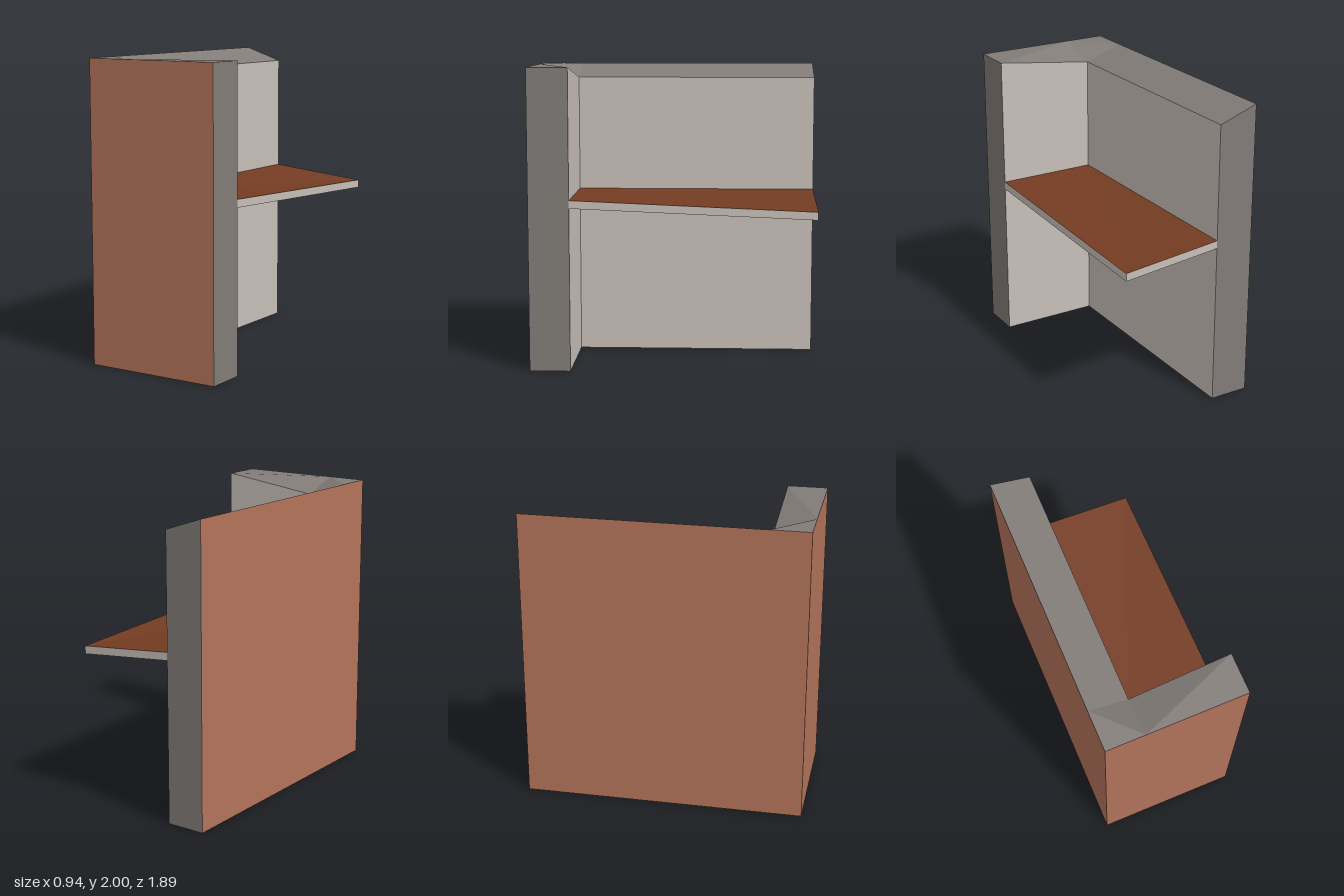
import * as THREE from 'three';

const mat = (name, color) => {
  const m = new THREE.MeshStandardMaterial({ color, side: THREE.DoubleSide });
  m.name = name;
  return m;
};

// Flat-shaded panel from convex polygons, corners counter-clockwise from outside
function panel(name, material, ...polygons) {
  const pos = [];
  for (const p of polygons)
    for (let i = 1; i < p.length - 1; i++) pos.push(...p[0], ...p[i], ...p[i + 1]);
  const g = new THREE.BufferGeometry();
  g.setAttribute('position', new THREE.Float32BufferAttribute(pos, 3));
  g.computeVertexNormals();
  const mesh = new THREE.Mesh(g, material);
  mesh.name = name;
  return mesh;
}

export function createModel() {
  const rust = mat('rust', 0xb3745b);
  const lightGrey = mat('lightGrey', 0xc8c0b9);
  const darkGrey = mat('darkGrey', 0x827c78);
  const brown = mat('brown', 0x743c22);

  const X = 0.47, XI = -0.205; // outer side, inner face of side wall
  const Z = 0.945, ZI = 0.675; // outer front, inner face of front wall
  const H = 2, HI = 1.91;      // rim height, lowered at the inner corner

  const model = new THREE.Group();
  model.name = 'cornerWallWithShelf';

  // L-shaped wall, open underneath
  const wall = new THREE.Group();
  wall.name = 'cornerWall';
  wall.add(
    panel('frontFace', rust, [[-X, 0, Z], [X, 0, Z], [X, H, Z], [-X, H, Z]]),
    panel('sideFace', rust, [[-X, 0, -Z], [-X, 0, Z], [-X, H, Z], [-X, H, -Z]]),
    panel('innerSideFace', lightGrey, [[XI, 0, ZI], [XI, 0, -Z], [XI, HI, -Z], [XI, HI, ZI]]),
    panel('innerFrontFace', lightGrey, [[X, 0, ZI], [XI, 0, ZI], [XI, HI, ZI], [X, H, ZI]]),
    panel('frontWallEnd', darkGrey, [[X, 0, Z], [X, 0, ZI], [X, H, ZI], [X, H, Z]]),
    panel('sideWallEnd', darkGrey, [[XI, 0, -Z], [-X, 0, -Z], [-X, H, -Z], [XI, HI, -Z]]),
    // rim sloping down to the inner corner
    panel('rim', darkGrey,
      [[-X, H, -Z], [-X, H, ZI], [XI, HI, ZI], [XI, HI, -Z]],
      [[-X, H, ZI], [-X, H, Z], [XI, H, Z]],
      [[-X, H, ZI], [XI, H, Z], [XI, HI, ZI]],
      [[XI, H, Z], [X, H, ZI], [XI, HI, ZI]],
      [[XI, H, Z], [X, H, Z], [X, H, ZI]])
  );

  // Shelf in the corner, its free corner drooping
  const level = (y) => [[XI, y, ZI], [X, y, ZI], [X, y - 0.067, -Z], [XI, y, -Z]];
  const top = level(1.138), low = level(1.085);
  const edge = (i, j) => [low[i], low[j], top[j], top[i]];
  const shelf = new THREE.Group();
  shelf.name = 'shelf';
  shelf.add(
    panel('shelfTop', brown, top),
    panel('shelfUnderside', brown, [...low].reverse()),
    panel('shelfEdges', lightGrey, edge(1, 2), edge(2, 3))
  );

  model.add(wall, shelf);
  return model;
}
